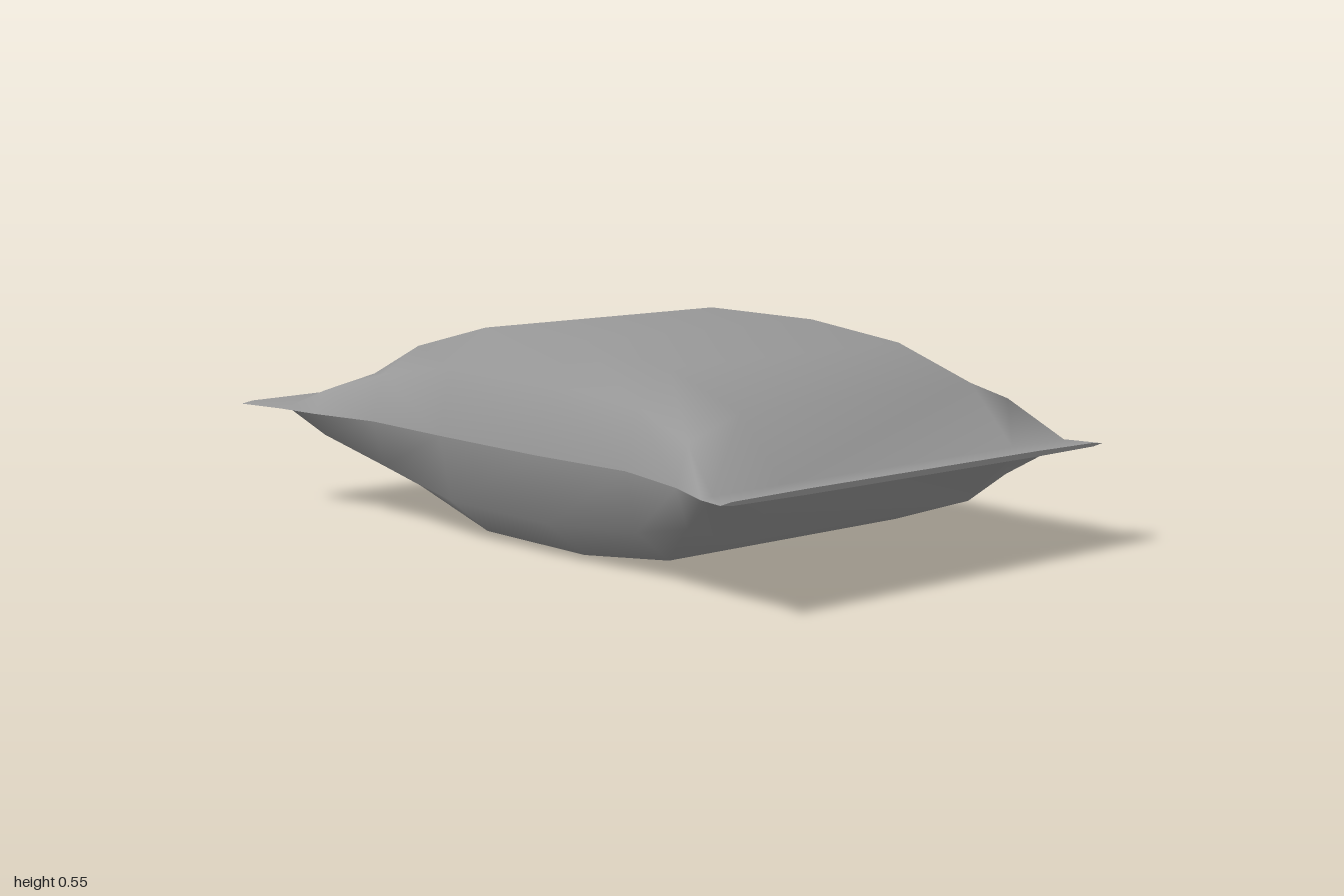
import * as THREE from 'three';

// Cross-sections from front to back: z, seam height, half height, right x, left x, z skew
const SECTIONS = [
  [0.99, 0.27, 0.007, 0.67, -0.68, 0.007],
  [0.91, 0.27, 0.007, 0.655, -0.665, 0.004],
  [0.77, 0.274, 0.154, 0.595, -0.615, 0],
  [0.52, 0.274, 0.237, 0.55, -0.55, 0],
  [0.2, 0.275, 0.273, 0.568, -0.565, 0],
  [-0.2, 0.279, 0.273, 0.582, -0.565, 0],
  [-0.5, 0.284, 0.194, 0.59, -0.565, 0],
  [-0.71, 0.287, 0.095, 0.63, -0.615, 0],
  [-0.84, 0.29, 0.009, 0.65, -0.637, 0.005],
  [-0.992, 0.29, 0.009, 0.675, -0.665, 0.011],
];
const FLAT = 0.41; // half width of the flat top and bottom panels
const INSET = 0.035; // how far the shoulder sits inside the side seam

// Half ring from the right seam to the left seam; side is 1 for the top, -1 for the bottom
function halfRing([z, y, h, right, left, skew], side) {
  return [
    [right, 0], [right - INSET, 0.65], [FLAT, 1],
    [-FLAT, 1], [left + INSET, 0.65], [left, 0],
  ].map(([x, k]) => [x, y + side * k * h, z + skew * x]);
}

function surface(points, index, name, material) {
  const geometry = new THREE.BufferGeometry();
  geometry.setAttribute('position', new THREE.Float32BufferAttribute(points.flat(), 3));
  geometry.setIndex(index);
  geometry.computeVertexNormals();
  const mesh = new THREE.Mesh(geometry, material);
  mesh.name = name;
  return mesh;
}

// One puffed sheet, running into the flat seals at both ends
function panel(side, name, material) {
  const rings = SECTIONS.map((section) => halfRing(section, side));
  const n = rings[0].length;
  const index = [];
  for (let i = 0; i < rings.length - 1; i++) {
    for (let j = 0; j < n - 1; j++) {
      const a = i * n + j;
      const quad = [a, a + n, a + 1, a + n, a + n + 1, a + 1];
      index.push(...(side > 0 ? quad : quad.reverse()));
    }
  }
  return surface(rings.flat(), index, name, material);
}

// Thin end face of a seal; facing is 1 for the front, -1 for the back
function sealEdge(section, facing, name, material) {
  const points = [...halfRing(section, 1), ...halfRing(section, -1).slice(1, -1).reverse()];
  const index = [];
  for (let j = 1; j < points.length - 1; j++) index.push(0, j, j + 1);
  return surface(points, facing > 0 ? index : index.reverse(), name, material);
}

export function createModel() {
  const group = new THREE.Group();
  group.name = 'pillowBag';
  const material = new THREE.MeshStandardMaterial({ color: 0x999999 });
  group.add(
    panel(1, 'upperPanel', material),
    panel(-1, 'lowerPanel', material),
    sealEdge(SECTIONS[0], 1, 'frontSealEdge', material),
    sealEdge(SECTIONS[SECTIONS.length - 1], -1, 'backSealEdge', material),
  );
  return group;
}
